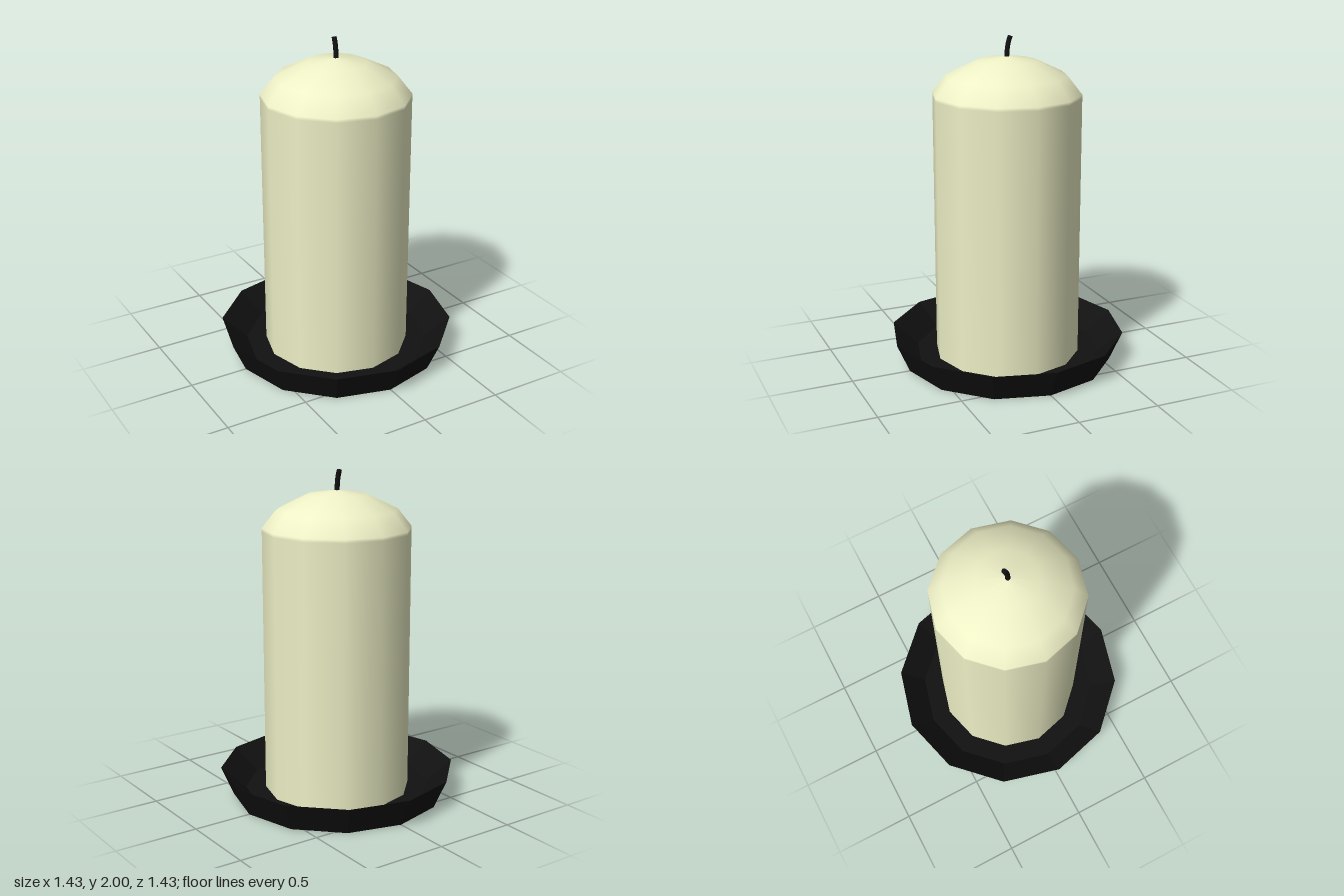
import * as THREE from 'three';

const SIDES = 12;

// Revolve [radius, height] pairs around the y axis
function lathe(name, profile, material) {
  const points = profile.map(([r, y]) => new THREE.Vector2(r, y));
  const mesh = new THREE.Mesh(new THREE.LatheGeometry(points, SIDES), material);
  mesh.name = name;
  return mesh;
}

export function createModel() {
  const model = new THREE.Group();
  model.name = 'candle';

  const wax = new THREE.MeshStandardMaterial({ color: 0xeef0c6 });
  const black = new THREE.MeshStandardMaterial({ color: 0x111111, flatShading: true });
  const char = new THREE.MeshStandardMaterial({ color: 0x111113 });

  // Shallow dish: underside, flared wall, sharp rim, sloped inside, floor
  model.add(lathe('dish', [
    [0, 0], [0.64, 0], [0.717, 0.176], [0.565, 0.045], [0, 0.045],
  ], black));

  // Wax pillar with a domed top; the close ring keeps the wall shading straight
  model.add(lathe('waxPillar', [
    [0.443, 0.045], [0.443, 1.64], [0.443, 1.66], [0.36, 1.765], [0.18, 1.853], [0, 1.88],
  ], wax));

  // Wick bending towards the back
  const path = new THREE.CatmullRomCurve3([
    new THREE.Vector3(0, 1.86, 0),
    new THREE.Vector3(0, 1.91, -0.002),
    new THREE.Vector3(0, 1.96, -0.01),
    new THREE.Vector3(0, 1.996, -0.023),
  ]);
  const radius = 0.015;
  const wick = new THREE.Mesh(new THREE.TubeGeometry(path, 6, radius, 8), char);
  wick.name = 'wick';
  model.add(wick);

  // Cap closing the wick's tip
  const tip = new THREE.Mesh(new THREE.CircleGeometry(radius, 8), char);
  tip.name = 'wickTip';
  tip.position.copy(path.getPoint(1));
  tip.quaternion.setFromUnitVectors(new THREE.Vector3(0, 0, 1), path.getTangent(1));
  model.add(tip);

  return model;
}
